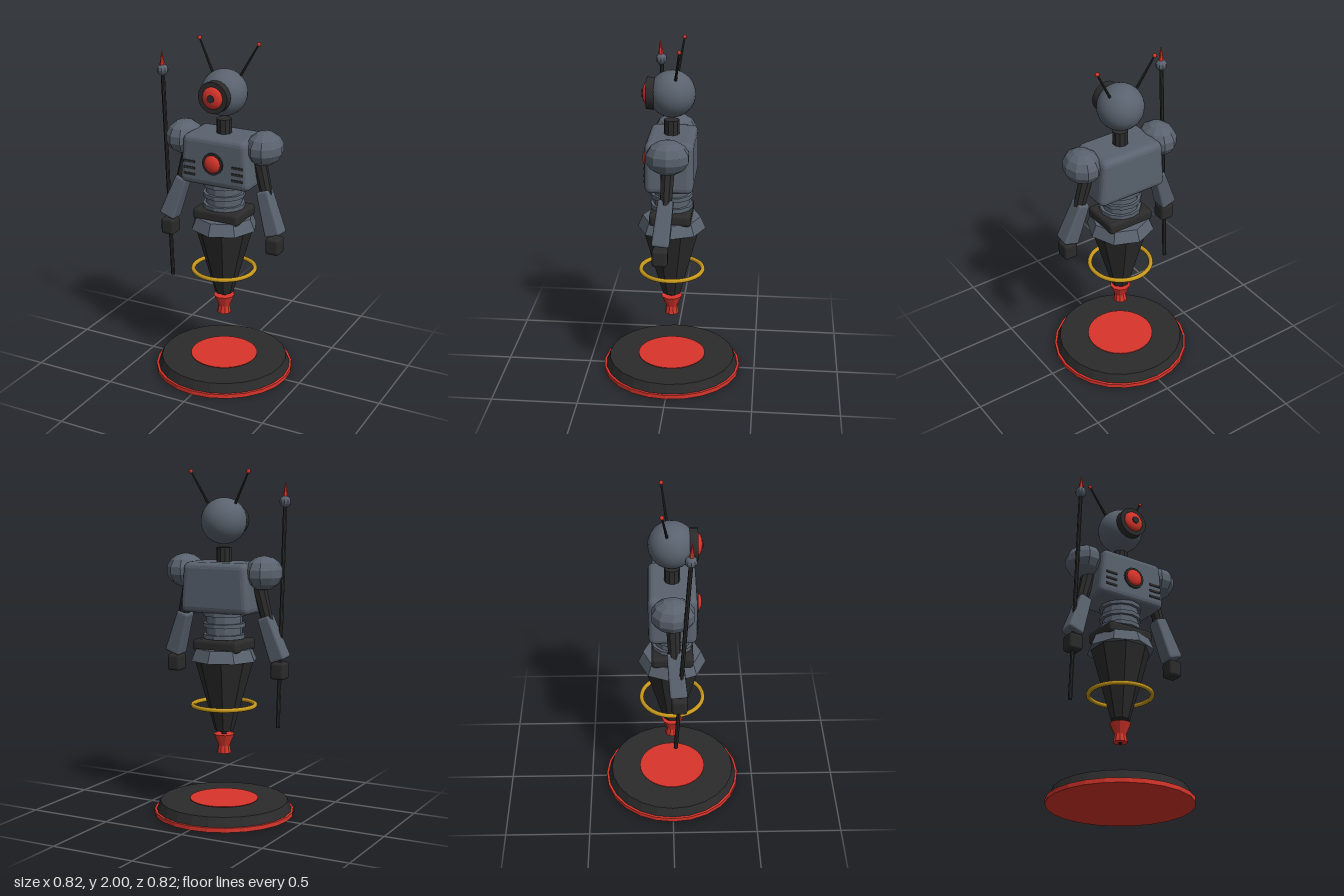
import * as THREE from 'three';
import { RoundedBoxGeometry } from 'three/addons/geometries/RoundedBoxGeometry.js';
import { toCreasedNormals } from 'three/addons/utils/BufferGeometryUtils.js';

const V = (x, y, z) => new THREE.Vector3(x, y, z);
const paint = (name, color) => {
  const m = new THREE.MeshStandardMaterial({ color });
  m.name = name;
  return m;
};

// Faceted look: every face gets its own normal
const facet = (geo) => {
  const g = geo.index ? geo.toNonIndexed() : geo;
  g.computeVertexNormals();
  return g;
};

export function createModel() {
  const steel = paint('steel grey', 0x59626e);
  const dark = paint('charcoal', 0x2b2b2b);
  const red = paint('red', 0xd9352b);
  const gold = paint('gold', 0xc99a1c);
  const root = new THREE.Group();
  root.name = 'hoveringRobot';

  const add = (name, geo, mat, x = 0, y = 0, z = 0, parent = root) => {
    const m = new THREE.Mesh(geo, mat);
    m.name = name;
    m.position.set(x, y, z);
    parent.add(m);
    return m;
  };
  // Upright faceted drum between two heights
  const drum = (name, mat, y0, y1, r0, r1, sides, turn = 0) =>
    add(name, facet(new THREE.CylinderGeometry(r1, r0, y1 - y0, sides, 1, false, turn)), mat, 0, (y0 + y1) / 2, 0);
  // Straight rod from point a to point b
  const rod = (name, mat, a, b, ra, rb, sides, parent = root) => {
    const m = add(name, toCreasedNormals(new THREE.CylinderGeometry(rb, ra, a.distanceTo(b), sides), 0.6), mat, 0, 0, 0, parent);
    m.position.copy(a).lerp(b, 0.5);
    m.quaternion.setFromUnitVectors(V(0, 1, 0), b.clone().sub(a).normalize());
    return m;
  };
  const chamferBox = (w, h, d, r) => facet(new RoundedBoxGeometry(w, h, d, 2, r));
  // Disc or drum facing forwards
  const faceDrum = (name, mat, r, y, z0, z1, sides) => {
    const m = add(name, toCreasedNormals(new THREE.CylinderGeometry(r, r, z1 - z0, sides), 0.6), mat, 0, y, (z0 + z1) / 2);
    m.rotation.x = Math.PI / 2;
    return m;
  };

  // Display base with glowing pad
  drum('baseRim', red, 0, 0.025, 0.41, 0.41, 24);
  drum('basePlate', dark, 0.025, 0.078, 0.396, 0.375, 24);
  drum('basePad', red, 0.084, 0.088, 0.2, 0.2, 32);

  // Thruster
  const nozzle = [[0, 0.36], [0.042, 0.36], [0.034, 0.405], [0.062, 0.472], [0, 0.472]];
  add('nozzle', facet(new THREE.LatheGeometry(nozzle.map((p) => new THREE.Vector2(...p)), 10)), red);
  drum('nozzleTip', dark, 0.348, 0.362, 0.003, 0.012, 8);
  drum('nozzleLink', dark, 0.465, 0.5, 0.016, 0.016, 8);

  // Tapered lower body with floating ring
  drum('lowerCone', dark, 0.492, 0.912, 0.054, 0.172, 8, Math.PI / 8);
  drum('hipSkirt', steel, 0.91, 0.98, 0.197, 0.168, 8);
  const halo = add('goldRing', new THREE.TorusGeometry(0.182, 0.013, 8, 36), gold, 0, 0.645, 0);
  halo.rotation.x = Math.PI / 2;
  add('pelvis', chamferBox(0.29, 0.07, 0.24, 0.02), dark, 0, 1.0, 0);

  // Ribbed waist
  drum('waist', steel, 1.03, 1.2, 0.105, 0.105, 12);
  [1.05, 1.115, 1.18].forEach((y) => drum('waistRib', steel, y - 0.012, y + 0.012, 0.122, 0.122, 12));

  // Torso, narrower at the top
  const chest = new RoundedBoxGeometry(0.44, 0.29, 0.272, 2, 0.035);
  const cp = chest.attributes.position;
  for (let i = 0; i < cp.count; i++) cp.setX(i, cp.getX(i) * (1 - 0.1 * (cp.getY(i) / 0.29 + 0.5)));
  add('torso', facet(chest), steel, 0, 1.333, 0);
  faceDrum('chestLampRim', dark, 0.064, 1.33, 0.12, 0.147, 16);
  const lamp = add('chestLamp', new THREE.SphereGeometry(0.052, 18, 12), red, 0, 1.33, 0.142);
  lamp.scale.z = 0.48;
  for (const s of [-1, 1]) {
    [1.325, 1.287, 1.25].forEach((y) => add('chestVent', new THREE.BoxGeometry(0.07, 0.014, 0.008), dark, s * 0.15, y, 0.137));
  }

  // Neck and head
  drum('neck', dark, 1.46, 1.56, 0.044, 0.044, 10);
  add('head', new THREE.SphereGeometry(0.132, 28, 20), steel, 0, 1.71, -0.002);
  faceDrum('eyeSocket', dark, 0.09, 1.71, 0.07, 0.14, 20);
  const eye = add('eyeLens', new THREE.SphereGeometry(0.063, 20, 14), red, 0, 1.71, 0.138);
  eye.scale.z = 0.43;
  faceDrum('pupil', dark, 0.023, 1.71, 0.159, 0.168, 8);

  // Mirrored antennae, shoulders and arms
  for (const s of [-1, 1]) {
    const side = new THREE.Group();
    side.name = s > 0 ? 'leftSide' : 'rightSide';
    root.add(side);

    const tip = V(s * 0.184, 1.988, -0.056);
    rod('antenna', dark, V(s * 0.088, 1.81, -0.029), tip, 0.008, 0.005, 8, side);
    add('antennaBall', new THREE.SphereGeometry(0.012, 10, 8), red, tip.x, tip.y, tip.z, side);

    const pad = add('shoulder', facet(new THREE.SphereGeometry(1, 10, 7)), steel, s * 0.255, 1.422, 0, side);
    pad.scale.set(0.106, 0.098, 0.125);

    rod('upperArm', dark, V(s * 0.215, 1.38, 0), V(s * 0.275, 1.15, 0.008), 0.042, 0.034, 8, side);

    // Forearm widens towards the wrist and leans out and forward
    const fore = new RoundedBoxGeometry(0.1, 0.262, 0.1, 2, 0.014);
    const fp = fore.attributes.position;
    for (let i = 0; i < fp.count; i++) {
      const k = 1 - 0.28 * (fp.getY(i) / 0.262 + 0.5);
      fp.setX(i, fp.getX(i) * k);
      fp.setZ(i, fp.getZ(i) * (0.5 + 0.5 * k));
    }
    const arm = add('forearm', facet(fore), steel, s * 0.302, 1.053, 0.02, side);
    arm.quaternion.setFromUnitVectors(V(0, 1, 0), V(-s * 0.085, 0.245, -0.024).normalize());

    add('hand', chamferBox(0.084, 0.098, 0.088, 0.016), dark, s * 0.34, 0.867, 0.035, side);
  }

  // Staff held in the right hand, leaning slightly forward at the top
  const staff = new THREE.Group();
  staff.name = 'staff';
  root.add(staff);
  const at = (y) => V(-0.34, y, 0.092 - 0.06 * (1.82 - y));
  rod('staffPole', dark, at(0.538), at(1.81), 0.012, 0.012, 8, staff);
  const knob = at(1.82);
  add('staffKnob', facet(new THREE.SphereGeometry(0.033, 10, 8)), steel, knob.x, knob.y, knob.z, staff);
  rod('staffSpike', red, at(1.84), at(1.932), 0.017, 0.0005, 6, staff);

  return root;
}
